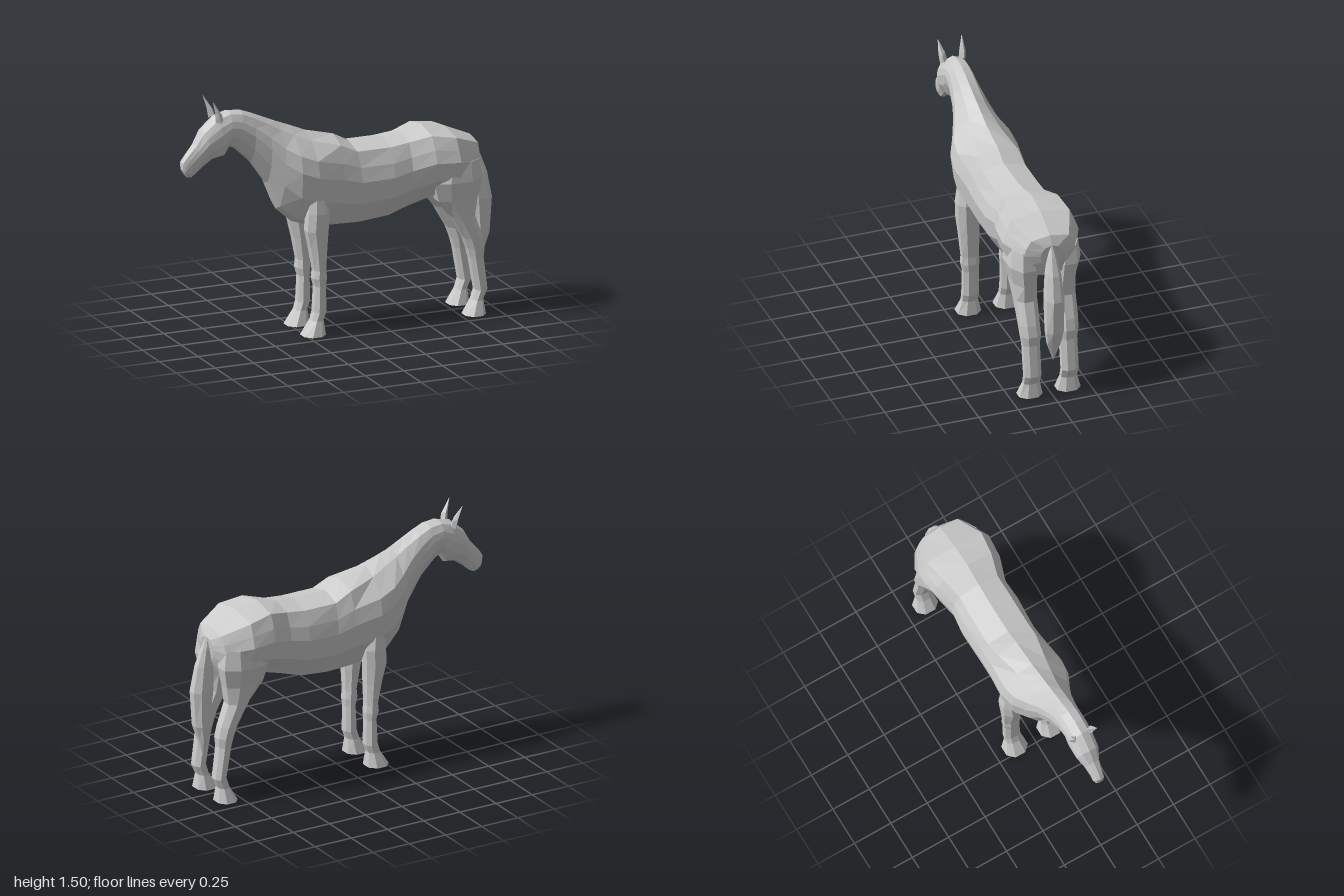
import * as THREE from 'three';

const material = new THREE.MeshStandardMaterial({ color: 0xcccccc, flatShading: true });

// Skin a list of closed rings (equal point counts) and cap both ends.
function loft(name, rings) {
  const n = rings[0].length;
  const points = rings.flat();
  const faces = [];
  for (let r = 0; r < rings.length - 1; r++) {
    for (let i = 0; i < n; i++) {
      const j = (i + 1) % n;
      const a = r * n + i, b = r * n + j, c = a + n, d = b + n;
      faces.push([a, b, d], [a, d, c]);
    }
  }
  const last = (rings.length - 1) * n;
  for (let i = 1; i < n - 1; i++) {
    faces.push([0, i + 1, i], [last, last + i, last + i + 1]);
  }
  // The signed volume tells whether the faces point outwards.
  let volume = 0;
  const cross = new THREE.Vector3();
  for (const [a, b, c] of faces) volume += points[a].dot(cross.crossVectors(points[b], points[c]));
  const index = faces.flatMap(([a, b, c]) => (volume < 0 ? [a, c, b] : [a, b, c]));
  const indexed = new THREE.BufferGeometry().setFromPoints(points);
  indexed.setIndex(index);
  const geometry = indexed.toNonIndexed();
  geometry.computeVertexNormals();
  const mesh = new THREE.Mesh(geometry, material);
  mesh.name = name;
  return mesh;
}

// Half outline of a body section: [fraction from top to bottom, fraction of half width].
const bodySide = [[0.25, 0.9], [0.42, 1], [0.68, 0.9], [0.94, 0.48]];

function bodyRing([tx, ty, bx, by, width, ridge]) {
  const half = [[0.07, ridge], ...bodySide.map(([t, w]) => [t, w * width])];
  const at = (t, z) => new THREE.Vector3(tx + (bx - tx) * t, ty + (by - ty) * t, z);
  return [
    at(0, 0),
    ...half.map(([t, z]) => at(t, z)),
    at(1, 0),
    ...half.slice().reverse().map(([t, z]) => at(t, -z)),
  ];
}

// Eight-sided limb section given by its limits in x and z.
const octagon = [[1, 0.45], [0.45, 1], [-0.45, 1], [-1, 0.45], [-1, -0.45], [-0.45, -1], [0.45, -1], [1, -0.45]];

function limbRing([y, x0, x1, z0, z1], side) {
  return octagon.map(([u, v]) => new THREE.Vector3(
    (x0 + x1) / 2 + u * (x1 - x0) / 2, y, side * ((z0 + z1) / 2 + v * (z1 - z0) / 2)));
}

// Sections: top x, top y, bottom x, bottom y, half width, half width of the top ridge.
const bodySections = [
  [0.9, 1.02, 0.885, 0.86, 0.07, 0.04],
  [0.87, 1.075, 0.85, 0.79, 0.165, 0.12],
  [0.7, 1.15, 0.72, 0.75, 0.24, 0.185],
  [0.55, 1.178, 0.57, 0.73, 0.228, 0.165],
  [0.42, 1.147, 0.42, 0.68, 0.185, 0.13],
  [0.3, 1.135, 0.3, 0.64, 0.197, 0.135],
  [0.08, 1.137, 0.12, 0.62, 0.188, 0.135],
  [-0.02, 1.19, -0.03, 0.625, 0.192, 0.13],
  [-0.2, 1.235, -0.18, 0.645, 0.21, 0.095],
  [-0.3, 1.278, -0.29, 0.68, 0.195, 0.075],
  [-0.38, 1.31, -0.39, 0.77, 0.15, 0.062],
  [-0.46, 1.345, -0.46, 0.94, 0.115, 0.055],
  [-0.55, 1.385, -0.56, 1.085, 0.09, 0.052],
  [-0.62, 1.412, -0.66, 1.18, 0.08, 0.05],
  [-0.7, 1.42, -0.7, 1.2, 0.078, 0.048],
  [-0.78, 1.4, -0.735, 1.14, 0.08, 0.048],
  [-0.87, 1.32, -0.81, 1.13, 0.074, 0.045],
  [-0.92, 1.235, -0.87, 1.085, 0.048, 0.032],
  [-0.98, 1.165, -0.915, 1.045, 0.036, 0.024],
  [-1.0, 1.135, -0.94, 1.03, 0.035, 0.024],
  [-1.0, 1.09, -0.965, 1.035, 0.024, 0.016],
];

// Limb sections: y, x limits, z limits.
const foreLegSections = [
  [0.88, -0.23, -0.14, 0.1, 0.185],
  [0.76, -0.245, -0.11, 0.07, 0.2],
  [0.65, -0.25, -0.115, 0.065, 0.195],
  [0.54, -0.225, -0.12, 0.065, 0.185],
  [0.4, -0.2, -0.125, 0.07, 0.175],
  [0.35, -0.205, -0.12, 0.068, 0.177],
  [0.3, -0.192, -0.125, 0.072, 0.168],
  [0.14, -0.2, -0.122, 0.07, 0.17],
  [0.09, -0.215, -0.14, 0.07, 0.168],
  [0, -0.27, -0.13, 0.047, 0.193],
];
const hindLegSections = [
  [0.97, 0.6, 0.86, 0.06, 0.205],
  [0.85, 0.565, 0.875, 0.04, 0.222],
  [0.73, 0.6, 0.85, 0.05, 0.195],
  [0.62, 0.69, 0.835, 0.055, 0.187],
  [0.48, 0.77, 0.885, 0.06, 0.182],
  [0.41, 0.795, 0.9, 0.058, 0.178],
  [0.35, 0.81, 0.895, 0.066, 0.17],
  [0.15, 0.845, 0.92, 0.066, 0.17],
  [0.09, 0.825, 0.893, 0.068, 0.168],
  [0, 0.775, 0.905, 0.047, 0.193],
];
const tailSections = [
  [1.02, 0.875, 0.9, -0.006, 0.006],
  [0.95, 0.865, 0.93, -0.025, 0.025],
  [0.84, 0.86, 0.97, -0.043, 0.043],
  [0.68, 0.865, 1.0, -0.056, 0.056],
  [0.46, 0.89, 0.985, -0.053, 0.053],
  [0.37, 0.905, 0.955, -0.042, 0.042],
  [0.25, 0.918, 0.922, -0.002, 0.002],
];

// Pointed ear: a four-cornered base narrowing to a tip.
function ear(name, side) {
  const ring = (corners) => corners.map(([x, y, z]) => new THREE.Vector3(x, y, z * side));
  return loft(name, [
    ring([[-0.8, 1.37, 0.055], [-0.775, 1.365, 0.08], [-0.755, 1.38, 0.062], [-0.77, 1.385, 0.035]]),
    ring([[-0.808, 1.43, 0.062], [-0.79, 1.425, 0.085], [-0.765, 1.415, 0.068], [-0.785, 1.43, 0.045]]),
    ring([[-0.827, 1.502, 0.075], [-0.825, 1.502, 0.077], [-0.823, 1.502, 0.075], [-0.825, 1.502, 0.073]]),
  ]);
}

export function createModel() {
  const horse = new THREE.Group();
  horse.name = 'horse';
  horse.add(loft('bodyNeckAndHead', bodySections.map(bodyRing)));
  horse.add(loft('tail', tailSections.map((s) => limbRing(s, 1))));

  // Paired parts on both flanks; the animal looks along -x.
  for (const [label, side] of [['front', 1], ['back', -1]]) {
    horse.add(loft(`${label}SideForeLeg`, foreLegSections.map((s) => limbRing(s, side))));
    horse.add(loft(`${label}SideHindLeg`, hindLegSections.map((s) => limbRing(s, side))));
    horse.add(ear(`${label}SideEar`, side));
  }
  return horse;
}
